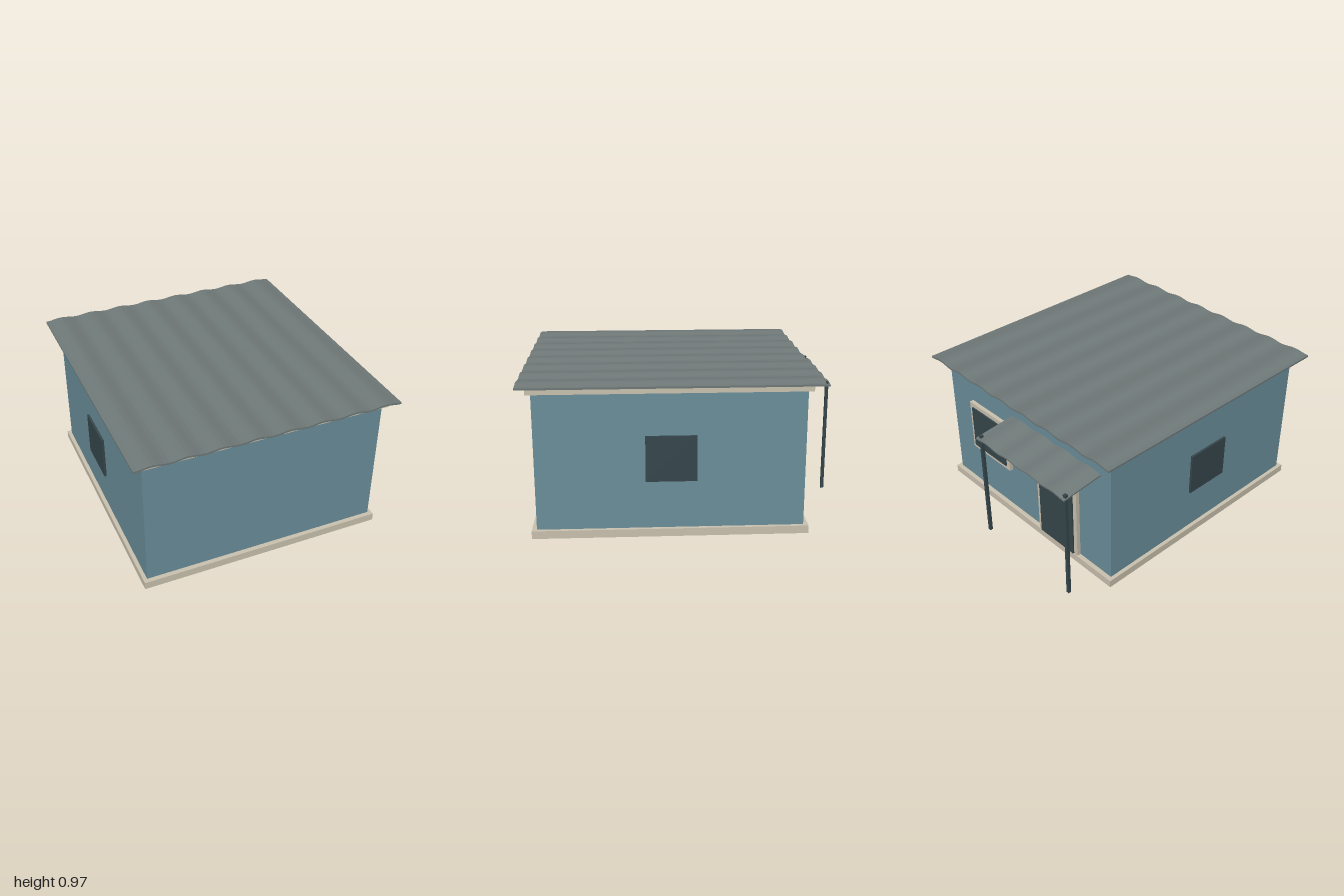
import * as THREE from 'three';

const mat = (name, color) => {
  const m = new THREE.MeshStandardMaterial({ color });
  m.name = name;
  return m;
};

export function createModel() {
  const house = new THREE.Group();
  house.name = 'house';
  const wall = mat('blue wall', 0x6b909c);
  const trim = mat('cream trim', 0xcbc3b1);
  const dark = mat('dark slate', 0x36474c);
  const metal = mat('grey roofing', 0x707a79);

  const add = (name, geometry, material, parent = house) => {
    const mesh = new THREE.Mesh(geometry, material);
    mesh.name = name;
    parent.add(mesh);
    return mesh;
  };

  // Box given by its lower and upper limits on each axis
  const box = (name, [x0, x1], [y0, y1], [z0, z1], material, parent) =>
    add(name, new THREE.BoxGeometry(x1 - x0, y1 - y0, z1 - z0), material, parent)
      .position.set((x0 + x1) / 2, (y0 + y1) / 2, (z0 + z1) / 2);

  // Corrugated sheet: a wavy strip in x and y, extruded along z and sheared to a slope
  const sheet = (name, [x0, x1], y, [z0, z1], waves, amp, thick, slope = 0) => {
    const n = waves * 8, top = [], bottom = [];
    for (let i = 0; i <= n; i++) {
      const x = x0 + (x1 - x0) * i / n;
      const h = y + amp * (1 - Math.cos(i / 8 * Math.PI * 2)) / 2;
      bottom.push(new THREE.Vector2(x, h));
      top.unshift(new THREE.Vector2(x, h + thick));
    }
    const g = new THREE.ExtrudeGeometry(new THREE.Shape([...bottom, ...top]),
      { depth: z1 - z0, bevelEnabled: false, steps: 1 });
    g.translate(0, 0, z0);
    const p = g.attributes.position;
    for (let i = 0; i < p.count; i++) p.setY(i, p.getY(i) + slope * (p.getZ(i) - z1));
    g.computeVertexNormals();
    return add(name, g, metal);
  };

  // Main body
  box('foundation', [-0.8, 0.8], [0, 0.05], [-0.75, 0.945], trim);
  box('walls', [-0.775, 0.775], [0.05, 0.906], [-0.72, 0.915], wall);
  box('cornice', [-0.805, 0.805], [0.906, 0.946], [-0.75, 0.945], trim);
  sheet('roof', [-0.85, 0.85], 0.947, [-0.81, 1], 8, 0.012, 0.012);

  // Side windows
  for (const s of [-1, 1]) {
    const a = 0.795 * s, b = 0.809 * s;
    box(s > 0 ? 'leftWindow' : 'rightWindow', [Math.min(a, b), Math.max(a, b)],
      [0.36, 0.645], [-0.06, 0.25], dark);
  }

  // Back openings: a frame of bars with a dark panel on its outer face
  const opening = (name, [x0, x1], [y0, y1], bar, hasSill) => {
    const g = new THREE.Group();
    g.name = name;
    house.add(g);
    const z = [-0.746, -0.72];
    const low = hasSill ? y0 + bar : y0;
    box('frameSide', [x0, x0 + bar], [low, y1 - bar], z, trim, g);
    box('frameSide', [x1 - bar, x1], [low, y1 - bar], z, trim, g);
    box('frameTop', [x0, x1], [y1 - bar, y1], z, trim, g);
    if (hasSill) box('frameSill', [x0, x1], [y0, low], z, trim, g);
    box('panel', [x0 + bar, x1 - bar], [low + (hasSill ? 0 : 0.005), y1 - bar],
      [-0.756, -0.738], dark, g);
  };
  opening('backWindow', [0.16, 0.55], [0.355, 0.715], 0.03, true);
  opening('door', [-0.495, -0.125], [0.05, 0.72], 0.03, false);

  // Porch
  sheet('canopy', [-0.69, 0.13], 0.786, [-1, -0.72], 4, 0.01, 0.01, 0.11);
  for (const x of [-0.675, 0.105])
    box('porchPost', [x - 0.01, x + 0.01], [0.028, 0.786], [-0.986, -0.966], dark);

  return house;
}
